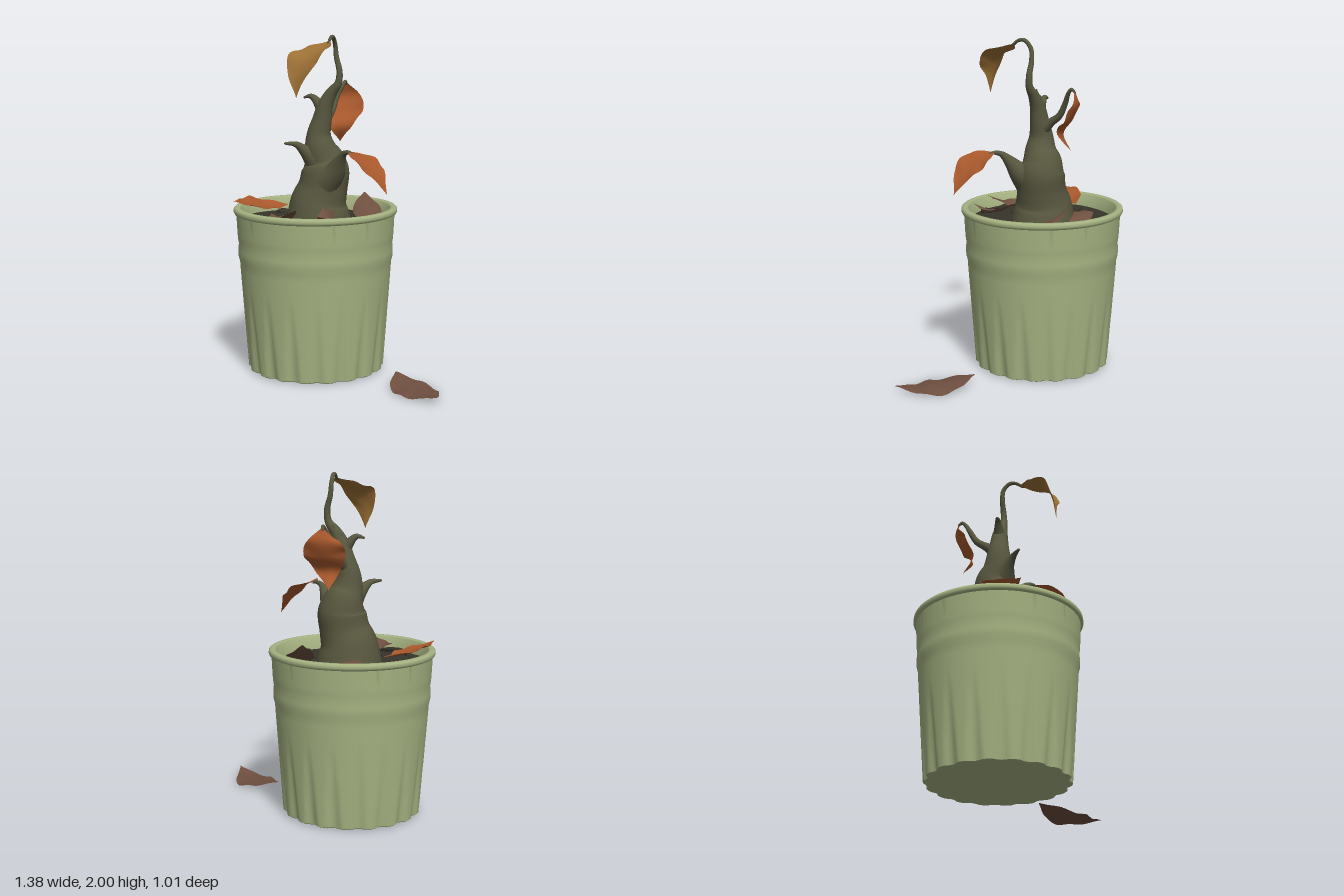
import * as THREE from 'three';
import { mergeVertices, toCreasedNormals } from 'three/addons/utils/BufferGeometryUtils.js';

const V = (x, y, z) => new THREE.Vector3(x, y, z);
const mat = (name, color, side = THREE.FrontSide) => {
  const m = new THREE.MeshStandardMaterial({ color, side });
  m.name = name;
  return m;
};

// Grid of vertices (rows x cols) turned into a smooth surface
function gridGeometry(rows, cols, point) {
  const pos = [], idx = [];
  for (let i = 0; i <= rows; i++)
    for (let j = 0; j <= cols; j++) pos.push(...point(i / rows, j / cols).toArray());
  for (let i = 0; i < rows; i++)
    for (let j = 0; j < cols; j++) {
      const a = i * (cols + 1) + j, b = a + cols + 1;
      idx.push(a, a + 1, b, a + 1, b + 1, b);
    }
  let g = new THREE.BufferGeometry();
  g.setAttribute('position', new THREE.Float32BufferAttribute(pos, 3));
  g.setIndex(idx);
  g = mergeVertices(g, 1e-5);
  g.computeVertexNormals();
  return g;
}

// Tube through [x, y, z, radius] stations, closed to a point at the end
function taperTube(stations, rows = 40, cols = 16) {
  const path = new THREE.CatmullRomCurve3(stations.map(s => V(s[0], s[1], s[2])));
  const radii = new THREE.CatmullRomCurve3(stations.map(s => V(s[3], 0, 0)), false, 'catmullrom');
  const frames = [];
  let n = V(0.3, 0.1, 1);
  for (let i = 0; i <= rows; i++) {
    const t = path.getTangent(i / rows);
    n = n.clone().addScaledVector(t, -n.dot(t)).normalize();
    frames.push([n, t.clone().cross(n)]);
  }
  return gridGeometry(rows, cols, (u, v) => {
    const [a, b] = frames[Math.round(u * rows)];
    const r = u === 1 ? 0 : radii.getPoint(u).x, w = v * Math.PI * 2;
    return path.getPoint(u).addScaledVector(a, r * Math.cos(w)).addScaledVector(b, r * Math.sin(w));
  });
}

// Leaf blade: spine from stalk to tip, side direction, half width, edge cupping
function leafGeometry(spine, side, halfWidth, cup = 0.3) {
  const path = new THREE.CatmullRomCurve3(spine.map(p => V(...p)));
  const s0 = V(...side).normalize();
  return gridGeometry(28, 12, (u, v) => {
    const t = path.getTangent(u);
    const s = s0.clone().addScaledVector(t, -s0.dot(t)).normalize();
    const up = t.clone().cross(s);
    const w = halfWidth * (Math.pow(Math.sin(Math.PI * Math.pow(u, 0.88)), 1.25) + 0.05 * (1 - u));
    const k = v * 2 - 1;
    const ripple = 0.06 * Math.sin(u * 19 + k * 2) * k * k;
    return path.getPoint(u).addScaledVector(s, k * w)
      .addScaledVector(up, w * (cup * k * k + ripple));
  });
}

// Pot: turned profile with flutes pressed into the lower half
function potGeometry() {
  const pts = [[0, 0.008], [0.3, 0.008], [0.395, 0.005]];
  for (let i = 0; i <= 16; i++) pts.push([0.407 + 0.043 * i / 16, 0.012 + 0.6 * i / 16]);
  pts.push([0.453, 0.66], [0.461, 0.69], [0.462, 0.73], [0.459, 0.77], [0.464, 0.8], [0.466, 0.83],
    [0.472, 0.945], [0.483, 0.95], [0.488, 0.962], [0.486, 0.978], [0.478, 0.985],
    [0.452, 0.985], [0.445, 0.978], [0.435, 0.86]);
  let g = new THREE.LatheGeometry(pts.map(p => new THREE.Vector2(...p)), 180);
  const p = g.attributes.position;
  for (let i = 0; i < p.count; i++) {
    const x = p.getX(i), y = p.getY(i), z = p.getZ(i), r = Math.hypot(x, z);
    if (y > 0.55 || r < 0.35) continue;
    const c = Math.cos(18 * Math.atan2(x, z));
    const d = 0.013 * Math.max(0, c - 1 + 1.6 * (1 - y / 0.53));
    p.setX(i, x * (1 - d / r));
    p.setZ(i, z * (1 - d / r));
  }
  g.deleteAttribute('normal');
  g.deleteAttribute('uv');
  g = mergeVertices(g, 1e-5);
  return toCreasedNormals(g, 0.8);
}

export function createModel() {
  const root = new THREE.Group();
  root.name = 'witheredPottedPlant';
  const green = mat('potGreen', 0xa6b382);
  const bark = mat('bark', 0x58573f);
  const earth = mat('soil', 0x36342a);
  const ochre = mat('ochreLeaf', 0x9c7036, THREE.DoubleSide);
  const orange = mat('orangeLeaf', 0xa8582c, THREE.DoubleSide);
  const brown = mat('brownLeaf', 0x6e4f40, THREE.DoubleSide);
  const add = (name, geo, m, parent = root) => {
    const mesh = new THREE.Mesh(geo, m);
    mesh.name = name;
    parent.add(mesh);
    return mesh;
  };

  // Pot and soil
  const pot = new THREE.Group();
  pot.name = 'potGroup';
  pot.position.set(-0.2, 0, -0.02);
  root.add(pot);
  add('pot', potGeometry(), green, pot);
  const soilY = 0.9;
  add('soil', gridGeometry(14, 60, (u, v) => {
    const a = v * Math.PI * 2, r = u * 0.442;
    const bump = 0.006 * Math.sin(r * 40 + 2 * a) * Math.sin(3 * a) * u;
    return V(r * Math.sin(a), soilY + 0.02 * (1 - u) + bump, r * Math.cos(a));
  }).scale(1, 1, 1), mat('soilSurface', 0x36342a, THREE.DoubleSide), pot);

  // Pebbles [x, z, radius]
  const pebbles = [[-0.245, -0.43, 0.04], [-0.465, -0.18, 0.042], [0.17, -0.18, 0.032], [0.09, -0.055, 0.037],
    [0.148, 0.005, 0.036], [-0.305, 0.16, 0.036], [-0.255, 0.19, 0.032], [-0.205, 0.365, 0.036],
    [0.125, 0.165, 0.03], [-0.55, 0.12, 0.04]];
  pebbles.forEach(([x, z, r], i) => {
    const m = add('pebble', new THREE.SphereGeometry(r, 16, 10), earth);
    m.scale.set(0.9, 0.55, 1.08);
    m.rotation.y = i * 1.3;
    m.position.set(x, soilY + 0.01, z);
  });
  add('soilTwig', taperTube([[-0.49, 0.915, 0.2, 0.014], [-0.43, 0.925, 0.275, 0.014],
    [-0.36, 0.92, 0.31, 0.014], [-0.28, 0.91, 0.345, 0.01]], 16, 8), earth);

  // Trunk running into the drooping top stem
  add('trunk', taperTube([
    [-0.185, 0.87, -0.035, 0.2], [-0.184, 1.0, -0.035, 0.172], [-0.158, 1.1, -0.036, 0.147],
    [-0.143, 1.2, -0.04, 0.141], [-0.152, 1.26, -0.042, 0.121], [-0.17, 1.33, -0.025, 0.096],
    [-0.178, 1.41, -0.023, 0.073], [-0.158, 1.5, -0.023, 0.058], [-0.135, 1.59, -0.02, 0.046],
    [-0.098, 1.66, -0.015, 0.034], [-0.052, 1.72, -0.008, 0.022], [-0.045, 1.79, -0.01, 0.018],
    [-0.065, 1.87, -0.015, 0.015], [-0.07, 1.94, -0.008, 0.013], [-0.07, 1.985, 0.03, 0.012],
    [-0.07, 1.985, 0.07, 0.01], [-0.07, 1.95, 0.12, 0.007]], 110, 28), bark);

  // Branches and broken stubs
  const branches = {
    sideBranch: [[-0.11, 1.15, 0.03, 0.09], [-0.05, 1.21, 0.06, 0.064], [-0.005, 1.28, 0.1, 0.035],
      [0.03, 1.325, 0.135, 0.018], [0.07, 1.337, 0.165, 0.011], [0.1, 1.33, 0.18, 0.007]],
    backBranch: [[-0.16, 1.46, -0.04, 0.045], [-0.15, 1.505, -0.1, 0.026], [-0.14, 1.55, -0.16, 0.02],
      [-0.125, 1.63, -0.205, 0.016], [-0.1, 1.69, -0.235, 0.012], [-0.09, 1.715, -0.26, 0.01],
      [-0.095, 1.69, -0.285, 0.006]],
    lowerStub: [[-0.19, 1.27, 0.0, 0.08], [-0.245, 1.325, 0.045, 0.036], [-0.285, 1.362, 0.08, 0.018],
      [-0.345, 1.37, 0.12, 0.006]],
    upperStub: [[-0.14, 1.54, -0.02, 0.046], [-0.185, 1.605, -0.022, 0.028], [-0.225, 1.638, -0.022, 0.016],
      [-0.275, 1.63, -0.022, 0.005]],
    smallStub: [[-0.12, 1.6, -0.02, 0.035], [-0.13, 1.645, -0.035, 0.016], [-0.105, 1.67, -0.035, 0.01],
      [-0.085, 1.705, -0.035, 0.005]],
  };
  for (const [name, stations] of Object.entries(branches)) add(name, taperTube(stations, 28, 16), bark);

  // Leaves hanging on the plant
  add('topLeaf', leafGeometry([[-0.07, 1.965, 0.09], [-0.1, 1.92, 0.18], [-0.155, 1.865, 0.27],
    [-0.185, 1.78, 0.305], [-0.19, 1.65, 0.325]], [1, 0.12, 0.15], 0.106, 0.2), ochre);
  add('sideLeaf', leafGeometry([[0.06, 1.34, 0.16], [0.14, 1.325, 0.205], [0.21, 1.275, 0.24],
    [0.275, 1.21, 0.265], [0.335, 1.12, 0.287]], [-0.4, 0.1, 1], 0.105, -0.1), orange);
  add('backLeaf', leafGeometry([[-0.09, 1.705, -0.28], [-0.095, 1.63, -0.298], [-0.1, 1.54, -0.26],
    [-0.105, 1.45, -0.2], [-0.12, 1.35, -0.245]], [1, 0.05, -0.2], 0.115, 0.18), orange);

  // Fallen leaves on the rim, the soil and the ground
  add('rimLeaf', leafGeometry([[-0.42, 0.965, -0.14], [-0.5, 0.965, -0.06], [-0.56, 0.98, 0.025],
    [-0.61, 0.995, 0.095], [-0.655, 1.02, 0.165]], [-0.79, 0.2, -0.61], 0.108, -0.15), orange);
  add('soilLeafBackRight', leafGeometry([[0.02, 1.04, -0.3], [0.045, 0.99, -0.24], [0.08, 0.95, -0.17],
    [0.11, 0.92, -0.11], [0.16, 0.89, -0.06]], [0.85, 0.1, -0.5], 0.085, -0.2), brown);
  add('soilLeafBack', leafGeometry([[-0.33, 0.95, -0.3], [-0.27, 0.945, -0.27], [-0.21, 0.935, -0.25],
    [-0.13, 0.91, -0.22]], [0.3, 0.2, 1], 0.06, 0.2), brown);
  add('soilLeafFront', leafGeometry([[-0.38, 0.97, 0.235], [-0.32, 0.96, 0.28], [-0.25, 0.985, 0.31],
    [-0.18, 1.02, 0.35]], [-0.4, 0.15, 1], 0.06, 0.2), brown);
  add('soilLeafFrontRight', leafGeometry([[-0.1, 1.0, 0.12], [-0.06, 0.955, 0.2], [-0.045, 0.95, 0.28],
    [-0.05, 0.99, 0.37]], [1, 0.15, 0], 0.055, 0.25), brown);
  add('groundLeaf', leafGeometry([[0.355, 0.062, 0.15], [0.43, 0.035, 0.235], [0.53, 0.022, 0.325],
    [0.61, 0.024, 0.41], [0.69, 0.045, 0.5]], [0.72, 0, -0.7], 0.12, -0.12), brown);
  return root;
}
